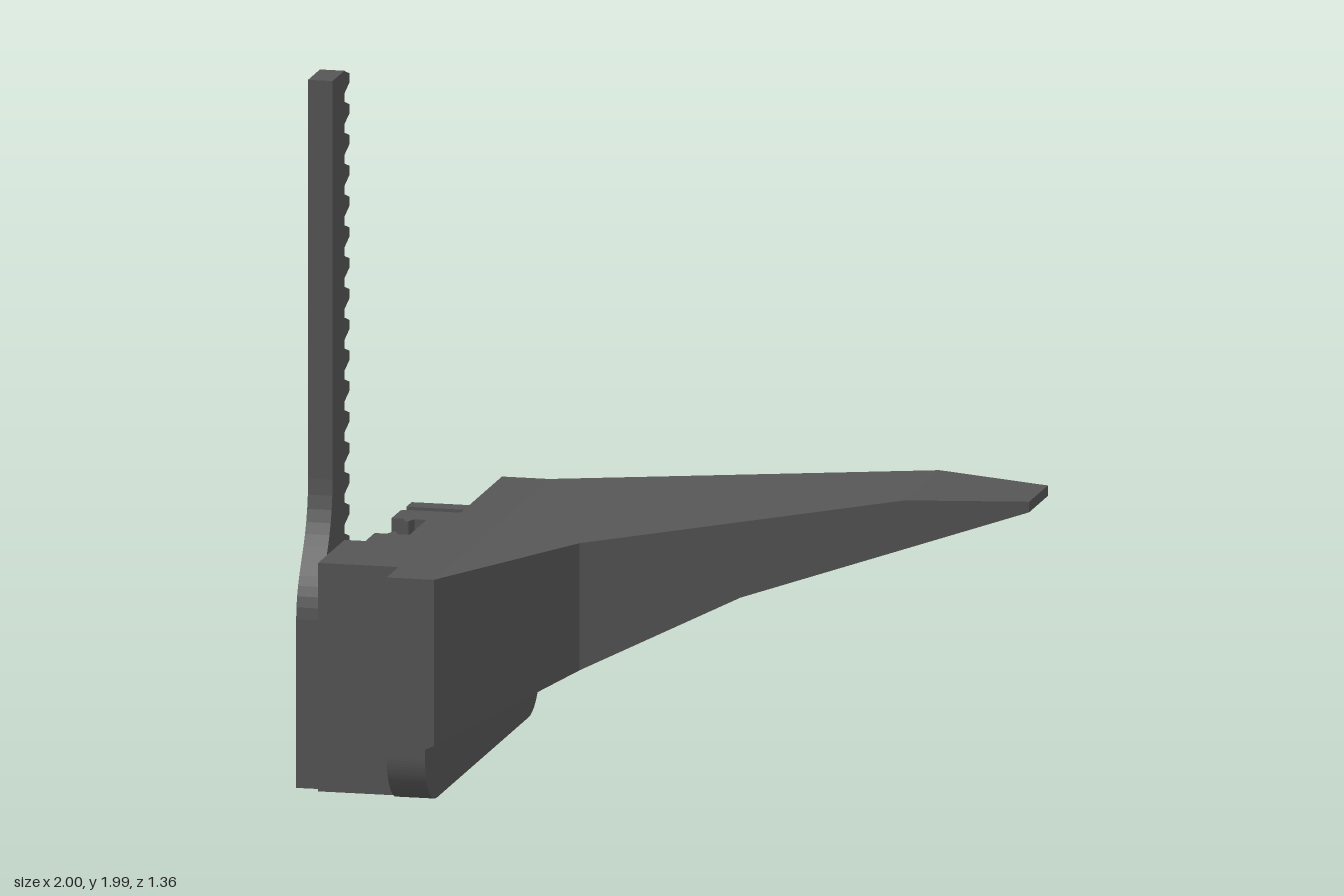
import * as THREE from 'three';

const material = new THREE.MeshStandardMaterial({ color: 0x555555, flatShading: true });

function add(group, name, geometry) {
  const mesh = new THREE.Mesh(geometry, material);
  mesh.name = name;
  group.add(mesh);
  return mesh;
}

function box(group, name, [x0, x1], [y0, y1], [z0, z1]) {
  const mesh = add(group, name, new THREE.BoxGeometry(x1 - x0, y1 - y0, z1 - z0));
  mesh.position.set((x0 + x1) / 2, (y0 + y1) / 2, (z0 + z1) / 2);
}

// Circular hole in a side profile
function hole(shape, z, y, r) {
  shape.holes.push(new THREE.Path().absarc(-z, y, r, 0, Math.PI * 2, true));
}

// Side profile drawn in (-z, y), extruded from x0 to x1
function extrudeX(shape, x0, x1) {
  return new THREE.ExtrudeGeometry(shape, { depth: x1 - x0, bevelEnabled: false, curveSegments: 12 })
    .rotateY(Math.PI / 2).translate(x0, 0, 0);
}

// Plan outline of [x, z] points, extruded from y0 to y1
function extrudeY(points, y0, y1) {
  const shape = new THREE.Shape(points.map(([x, z]) => new THREE.Vector2(x, -z)));
  return new THREE.ExtrudeGeometry(shape, { depth: y1 - y0, bevelEnabled: false })
    .rotateX(-Math.PI / 2).translate(0, y0, 0);
}

// Piecewise linear lookup through [x, value] points
function along(points, x) {
  for (let i = 1; i < points.length; i++) {
    const [xa, a] = points[i - 1], [xb, b] = points[i];
    if (x <= xb) return a + (b - a) * (x - xa) / (xb - xa);
  }
  return points[points.length - 1][1];
}

// Hollow tapering arm, open underneath, built from U-shaped sections along x
function armGeometry() {
  const top = [[-0.59, 0.65], [-0.565, 0.65], [0.66, 0.832], [1, 0.832]];
  const bottom = [[-0.59, 0.165], [0.21, 0.55], [1, 0.802]];
  const outerFront = [[-0.59, 0.68], [-0.565, 0.68], [-0.23, 0.34], [1, 0.11]];
  const outerBack = [[-0.59, -0.68], [-0.565, -0.68], [1, -0.11]];
  const innerFront = [[-0.59, 0.55], [-0.29, 0.24], [0.88, 0.02], [1, 0]];
  const innerBack = [[-0.59, -0.57], [0.88, -0.02], [1, 0]];
  const sections = [-0.59, -0.565, -0.29, -0.23, 0.21, 0.66, 0.88, 1].map((x) => {
    const yt = along(top, x), yb = along(bottom, x);
    const yc = x === 1 ? yb : Math.max(yb, yt - 0.068);
    const [zf, zb, jf, jb] = [outerFront, outerBack, innerFront, innerBack].map((p) => along(p, x));
    return [[zb, yb], [zb, yt], [zf, yt], [zf, yb], [jf, yb], [jf, yc], [jb, yc], [jb, yb]]
      .map(([z, y]) => [x, y, z]);
  });
  const positions = [];
  const quad = (a, b, c, d) => positions.push(...a, ...b, ...c, ...a, ...c, ...d);
  for (let s = 1; s < sections.length; s++) {
    const p = sections[s - 1], q = sections[s];
    for (let i = 0; i < 8; i++) {
      const j = (i + 1) % 8;
      quad(p[i], p[j], q[j], q[i]);
    }
  }
  const tip = sections[sections.length - 1];
  quad(tip[0], tip[1], tip[2], tip[3]);
  const geometry = new THREE.BufferGeometry();
  geometry.setAttribute('position', new THREE.Float32BufferAttribute(positions, 3));
  geometry.computeVertexNormals();
  return geometry;
}

// Mounting plate with rounded lower corners and three screw holes
function plateShape(holeRadius) {
  const w = 0.68, r = 0.14;
  const shape = new THREE.Shape();
  shape.moveTo(-w, 0.65).lineTo(-w, r);
  shape.absarc(-w + r, r, r, Math.PI, Math.PI * 1.5, false);
  shape.absarc(w - r, r, r, Math.PI * 1.5, Math.PI * 2, false);
  shape.lineTo(w, 0.65);
  for (const [z, y] of [[0.17, 0.215], [-0.165, 0.215], [-0.165, 0.44]]) hole(shape, z, y, holeRadius);
  return shape;
}

// Toothed rack flaring into a wider foot
function rackShape() {
  const shape = new THREE.Shape();
  const tip = 0.167, root = 0.23, pitch = 0.0877, teeth = 16;
  shape.moveTo(-0.51, 0).lineTo(-0.16, 0).lineTo(-0.16, 0.55).lineTo(-root, 0.585);
  for (let i = teeth - 1; i >= 0; i--) {
    const y = 1.952 - i * pitch;
    shape.lineTo(-root, y - 0.032).lineTo(-tip, y - 0.012).lineTo(-tip, y + 0.012);
    shape.lineTo(-root, y + 0.032);
  }
  shape.lineTo(-root, 1.985).lineTo(-0.37, 1.985).lineTo(-0.37, 0.85);
  shape.bezierCurveTo(-0.37, 0.66, -0.51, 0.62, -0.51, 0.48);
  hole(shape, 0.37, 0.13, 0.028);
  hole(shape, 0.37, 0.4, 0.028);
  return shape;
}

export function createModel() {
  const model = new THREE.Group();
  model.name = 'bracketWithRack';

  add(model, 'arm', armGeometry());
  add(model, 'plateBack', extrudeX(plateShape(0.034), -0.7, -0.63));
  add(model, 'plateFront', extrudeX(plateShape(0.068), -0.63, -0.59));

  // Rack and the blocks on the back of the plate
  add(model, 'rack', extrudeX(rackShape(), -1, -0.93));
  box(model, 'rackBlock', [-0.93, -0.7], [0, 0.65], [0.23, 0.54]);
  box(model, 'stopBlock', [-0.865, -0.7], [0, 0.65], [-0.295, -0.232]);

  // C-shaped guide channel with a small rib on each inner wall
  const half = [[-0.7, 0.215], [-0.865, 0.215], [-0.875, 0.205], [-0.875, 0.1], [-0.84, 0.1],
    [-0.83, 0.07], [-0.82, 0.07], [-0.81, 0.1], [-0.775, 0.1]];
  const mirrored = half.map(([x, z]) => [x, -z]).reverse();
  add(model, 'guideChannel', extrudeY([...half, ...mirrored], 0.01, 0.645));

  return model;
}
